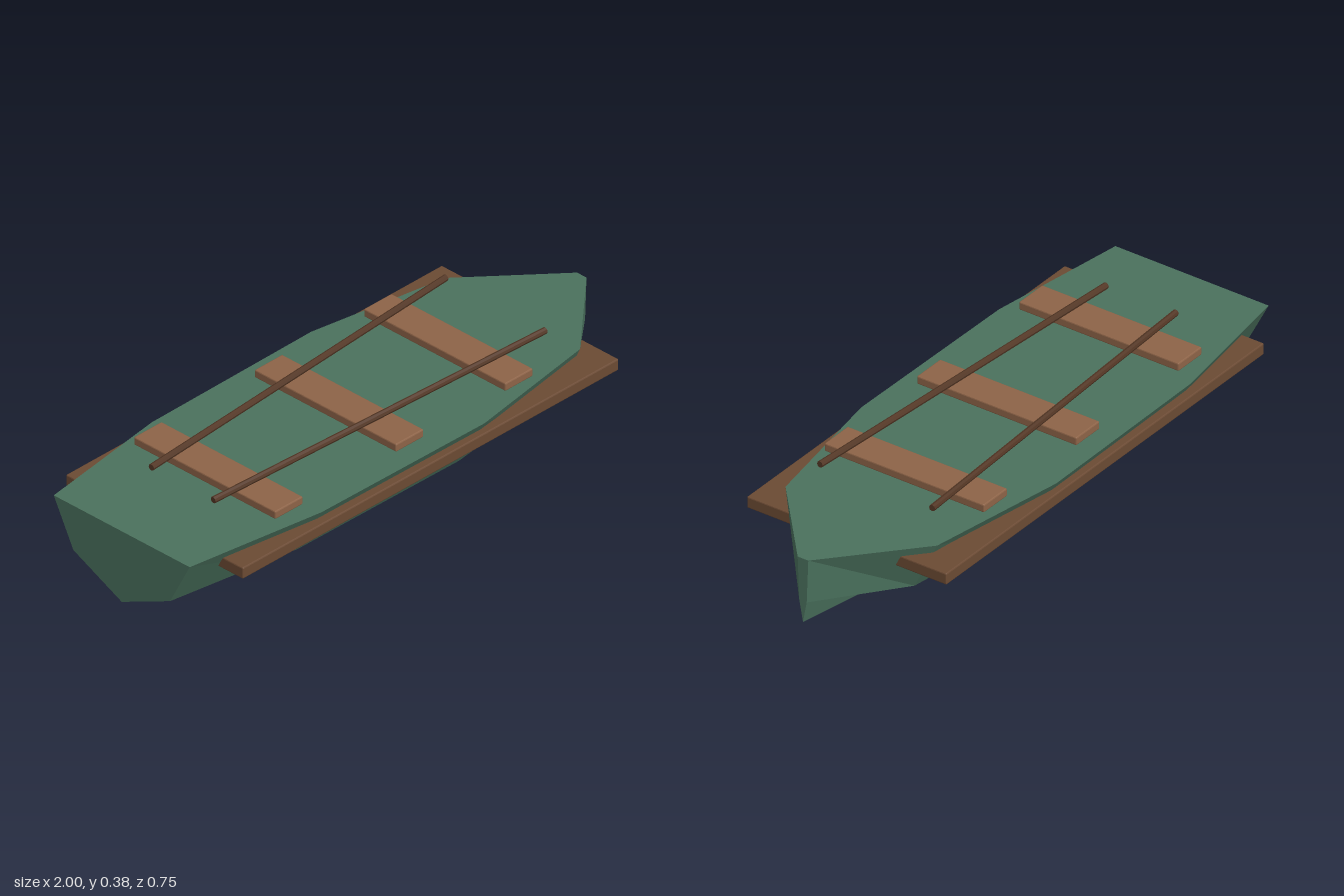
import * as THREE from 'three';
import { RoundedBoxGeometry } from 'three/addons/geometries/RoundedBoxGeometry.js';

const material = (name, color) => {
  const m = new THREE.MeshStandardMaterial({ color });
  m.name = name;
  return m;
};

// Separate faces give crisp, flat-shaded planks and panels
function faceted(geometry) {
  const g = geometry.index ? geometry.toNonIndexed() : geometry;
  g.computeVertexNormals();
  return g;
}

// Hull lofted through cross-sections: gunwale, chine, keel, chine, gunwale
function hullGeometry() {
  // x, gunwale half-width, chine half-width, chine height, keel height
  const stations = [
    [-1, 0.288, 0.205, 0.14, 0.045],
    [-0.5, 0.36, 0.257, 0.12, 0.004],
    [0.2, 0.367, 0.26, 0.117, 0],
    [0.7, 0.285, 0.2, 0.125, 0.025],
    [1, 0.02, 0.014, 0.148, 0.073],
  ];
  const deckY = 0.3;
  const rings = stations.map(([x, w, c, cy, k]) => [
    [x, deckY, w], [x, cy, c], [x, k, 0], [x, cy, -c], [x, deckY, -w],
  ]);
  const positions = [];
  const tri = (a, b, c) => positions.push(...a, ...b, ...c);
  for (let i = 0; i < rings.length - 1; i++) {
    const p = rings[i], q = rings[i + 1];
    for (let j = 0; j < 5; j++) {
      const k = (j + 1) % 5;
      tri(p[j], p[k], q[k]);
      tri(p[j], q[k], q[j]);
    }
  }
  // Transom and stem faces
  const stern = rings[0], bow = rings[rings.length - 1];
  for (let j = 1; j < 4; j++) {
    tri(stern[0], stern[j + 1], stern[j]);
    tri(bow[0], bow[j], bow[j + 1]);
  }
  const g = new THREE.BufferGeometry();
  g.setAttribute('position', new THREE.Float32BufferAttribute(positions, 3));
  return faceted(g);
}

export function createModel() {
  const boat = new THREE.Group();
  boat.name = 'rowingBoat';

  const green = material('hull green', 0x4a715d);
  const railWood = material('rail brown', 0x6b4a33);
  const seatWood = material('seat brown', 0x8d6347);
  const oarWood = material('oar brown', 0x533624);

  const add = (name, geometry, mat, x = 0, y = 0, z = 0) => {
    const mesh = new THREE.Mesh(geometry, mat);
    mesh.name = name;
    mesh.position.set(x, y, z);
    boat.add(mesh);
    return mesh;
  };

  add('hull', hullGeometry(), green);

  // Bench seats across the boat
  const seat = faceted(new RoundedBoxGeometry(0.12, 0.028, 0.6, 1, 0.004));
  [-0.58, -0.055, 0.42].forEach((x, i) => add(`seat${i + 1}`, seat, seatWood, x, 0.325, 0));

  // Rails and oars, mirrored on both sides
  const rail = faceted(new RoundedBoxGeometry(1.634, 0.04, 0.215, 1, 0.004));
  const up = new THREE.Vector3(0, 1, 0);
  for (const side of [1, -1]) {
    const label = side > 0 ? 'Front' : 'Back';
    add(`rail${label}`, rail, railWood, -0.041, 0.25, side * 0.2675);

    const start = new THREE.Vector3(-0.737, 0.35, side * 0.131);
    const end = new THREE.Vector3(0.625, 0.369, side * 0.211);
    const along = end.clone().sub(start);
    const shaft = faceted(new THREE.CylinderGeometry(0.011, 0.011, along.length(), 8));
    const oar = add(`oar${label}`, shaft, oarWood);
    oar.position.copy(start).add(end).multiplyScalar(0.5);
    oar.quaternion.setFromUnitVectors(up, along.normalize());
  }

  return boat;
}
